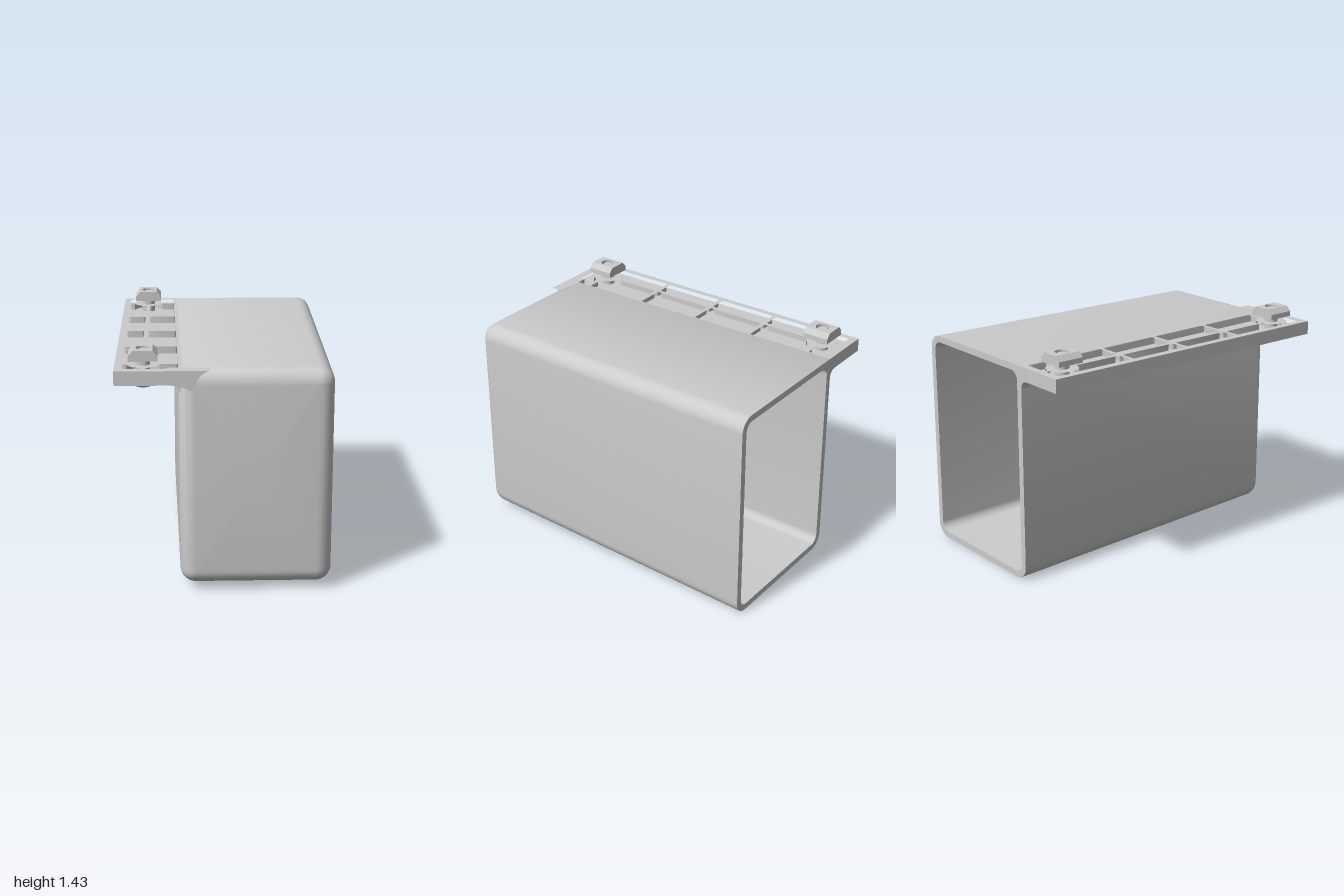
import * as THREE from 'three';
import { toCreasedNormals } from 'three/addons/utils/BufferGeometryUtils.js';

const TOP = 1.333, FLOOR = 1.285, UNDER = 1.25;
const BOLT_X = -0.478, BOLT_Z = [-0.835, 0.83], BOSS_R = 0.095;
const material = new THREE.MeshStandardMaterial({ color: 0xcccccc });

function mesh(geometry, name, crease = 0.6) {
  const m = new THREE.Mesh(toCreasedNormals(geometry, crease), material);
  m.name = name;
  return m;
}

// One rounded-rectangle section of the drafted box, inset by d (counterclockwise from +z)
function ring(z, d, r, rTopLeft = r) {
  const t = (1 - z) / 2;
  const L = -0.275 - 0.035 * t + d, R = 0.605 + 0.03 * t - d;
  const B = 0.04 * (1 - t) + d, T = TOP - d;
  const corners = [[R, T, -1, -1, r], [L, T, 1, -1, rTopLeft], [L, B, 1, 1, r], [R, B, -1, 1, r]];
  const pts = [];
  corners.forEach(([x, y, sx, sy, rad], k) => {
    for (let i = 0; i <= 8; i++) {
      const a = (k + i / 8) * Math.PI / 2;
      pts.push([x + sx * rad + rad * Math.cos(a), y + sy * rad + rad * Math.sin(a), z]);
    }
  });
  return pts;
}

// Skin between successive rings
function loft(rings) {
  const n = rings[0].length, index = [];
  for (let j = 0; j < rings.length - 1; j++) {
    for (let i = 0; i < n; i++) {
      const k = (i + 1) % n, a = j * n, b = a + n;
      index.push(a + i, a + k, b + k, a + i, b + k, b + i);
    }
  }
  const g = new THREE.BufferGeometry();
  g.setAttribute('position', new THREE.Float32BufferAttribute(rings.flat(2), 3));
  g.setIndex(index);
  return g;
}

// Hollow box: inside from front to back, rim, outside from back to front
function boxShell() {
  const centre = z => ring(z, 0, 0.05).map(() => [0.165, 0.68, z]);
  const rings = [centre(0.96)];
  for (let i = 6; i >= 0; i--) {
    const a = i / 6 * Math.PI / 2, e = 0.05 * (1 - Math.cos(a));
    rings.push(ring(0.91 + 0.05 * Math.sin(a), 0.04 + e, Math.max(0.055 - e, 0.005)));
  }
  rings.push(ring(-1, 0.04, 0.055), ring(-1, 0, 0.09, 0.01));
  for (let i = 0; i <= 8; i++) {
    const a = i / 8 * Math.PI / 2, e = 0.09 * (1 - Math.cos(a));
    rings.push(ring(0.91 + 0.09 * Math.sin(a), e, Math.max(0.09 - e, 0.004), 0.004));
  }
  rings.push(centre(1));
  return loft(rings);
}

// Plan-view slab: shape drawn in (x, -z), raised from y0 to y1
function slab(shape, y0, y1, steps = 1) {
  const g = new THREE.ExtrudeGeometry(shape, { depth: y1 - y0, steps, bevelEnabled: false, curveSegments: 20 });
  return g.rotateX(-Math.PI / 2).translate(0, y0, 0);
}

function flangeOutline() {
  return new THREE.Shape([[-0.64, 1], [-0.29, 1], [-0.255, -1], [-0.64, -1]].map(p => new THREE.Vector2(...p)));
}

// Pocket outline: rounded corners, or a scooped corner next to a bolt boss
function pocket(x0, x1, z0, z1) {
  const slant = z => x1 === null ? -0.29 + 0.014 * z : x1;
  const corners = [[x0, z0], [slant(z0), z0], [slant(z1), z1], [x0, z1]];
  const pts = [];
  corners.forEach(([x, z], i) => {
    const towards = ([px, pz]) => {
      const l = Math.hypot(px - x, pz - z);
      return [x + (px - x) / l * 0.014, z + (pz - z) / l * 0.014];
    };
    const bz = BOLT_Z.find(b => Math.hypot(x - BOLT_X, z - b) < BOSS_R);
    const before = corners[(i + 3) % 4], after = corners[(i + 1) % 4];
    if (bz === undefined) {
      const p = towards(before), q = towards(after);
      for (let k = 0; k <= 4; k++) {
        const t = k / 4, u = 1 - t;
        pts.push([0, 1].map(c => u * u * p[c] + 2 * u * t * [x, z][c] + t * t * q[c]));
      }
    } else {
      const dx = x - BOLT_X, dz = z - bz;
      const onZ = Math.atan2(Math.sign(dz) * Math.sqrt(BOSS_R ** 2 - dx * dx), dx);
      const onX = Math.atan2(dz, Math.sign(dx) * Math.sqrt(BOSS_R ** 2 - dz * dz));
      const [a, b] = Math.abs(before[0] - x) < 0.05 ? [onZ, onX] : [onX, onZ];
      for (let k = 0; k <= 8; k++) {
        const t = a + (b - a) * k / 8;
        pts.push([BOLT_X + BOSS_R * Math.cos(t), bz + BOSS_R * Math.sin(t)]);
      }
    }
  });
  return new THREE.Path(pts.map(([x, z]) => new THREE.Vector2(x, -z)));
}

function createFlange() {
  const flange = new THREE.Group();
  flange.name = 'mountingFlange';
  const ribs = flangeOutline();
  const rows = [[-0.955, -0.847], [-0.823, -0.43], [-0.405, -0.018], [0.008, 0.4], [0.425, 0.818], [0.842, 0.945]];
  for (const [z0, z1] of rows) {
    ribs.holes.push(pocket(-0.6, -0.49, z0, z1), pocket(-0.465, null, z0, z1));
  }
  flange.add(mesh(slab(ribs, FLOOR, TOP), 'flangeRibs'));
  flange.add(mesh(slab(flangeOutline(), UNDER, FLOOR), 'flangePlate'));

  // Fillet under the flange, following the drafted side wall
  const fillet = new THREE.Shape();
  fillet.moveTo(-0.295, 1.26);
  fillet.lineTo(-0.36, 1.25);
  fillet.absarc(-0.36, 1.2, 0.05, Math.PI / 2, 0, true);
  fillet.lineTo(-0.295, 1.2);
  const fg = new THREE.ExtrudeGeometry(fillet, { depth: 1.95, bevelEnabled: false, curveSegments: 8 });
  fg.translate(0, 0, -1);
  const p = fg.attributes.position;
  for (let i = 0; i < p.count; i++) p.setX(i, p.getX(i) + 0.0175 * (p.getZ(i) + 1));
  flange.add(mesh(fg, 'flangeFillet'));

  // Front blend between the flange and the rounded box edge
  const blend = new THREE.Shape();
  blend.moveTo(-0.335, TOP);
  blend.lineTo(-0.335, UNDER);
  blend.quadraticCurveTo(-0.27, 1.25, -0.21, 1.215);
  blend.lineTo(-0.18, 1.25);
  blend.quadraticCurveTo(-0.17, 1.315, -0.1, TOP);
  const bg = new THREE.ExtrudeGeometry(blend, { depth: 0.08, bevelEnabled: false, curveSegments: 8 });
  flange.add(mesh(bg.translate(0, 0, 0.92), 'flangeBlend'));
  return flange;
}

function createFastener(z) {
  const fastener = new THREE.Group();
  fastener.name = 'fastener';
  fastener.position.set(BOLT_X, 0, z);

  // Slot nut: square block with a bore, narrowed towards the top
  const h = 0.083;
  const square = new THREE.Shape([[-h, -h], [h, -h], [h, h], [-h, h]].map(q => new THREE.Vector2(...q)));
  square.holes.push(new THREE.Path().absarc(0, 0, 0.042, 0, Math.PI * 2, true));
  const nut = slab(square, 1.366, 1.428, 2);
  const p = nut.attributes.position;
  for (let i = 0; i < p.count; i++) {
    if (p.getY(i) > 1.42 && Math.abs(p.getX(i)) > 0.08) p.setX(i, Math.sign(p.getX(i)) * 0.056);
  }
  fastener.add(mesh(nut, 'slotNut'));

  // Button-head bolt with a socket in its head
  const profile = [[0, 1.232], [0.03, 1.232], [0.03, 1.207], [0.045, 1.207], [0.063, 1.22], [0.074, 1.234],
    [0.078, 1.251], [0.041, 1.251], [0.041, 1.405], [0.028, 1.418], [0, 1.418]];
  const bolt = new THREE.LatheGeometry(profile.map(q => new THREE.Vector2(...q)), 32);
  fastener.add(mesh(bolt, 'bolt'));
  return fastener;
}

export function createModel() {
  const model = new THREE.Group();
  model.name = 'undermountBox';
  model.add(mesh(boxShell(), 'boxShell'), createFlange());
  for (const z of BOLT_Z) model.add(createFastener(z));
  return model;
}
